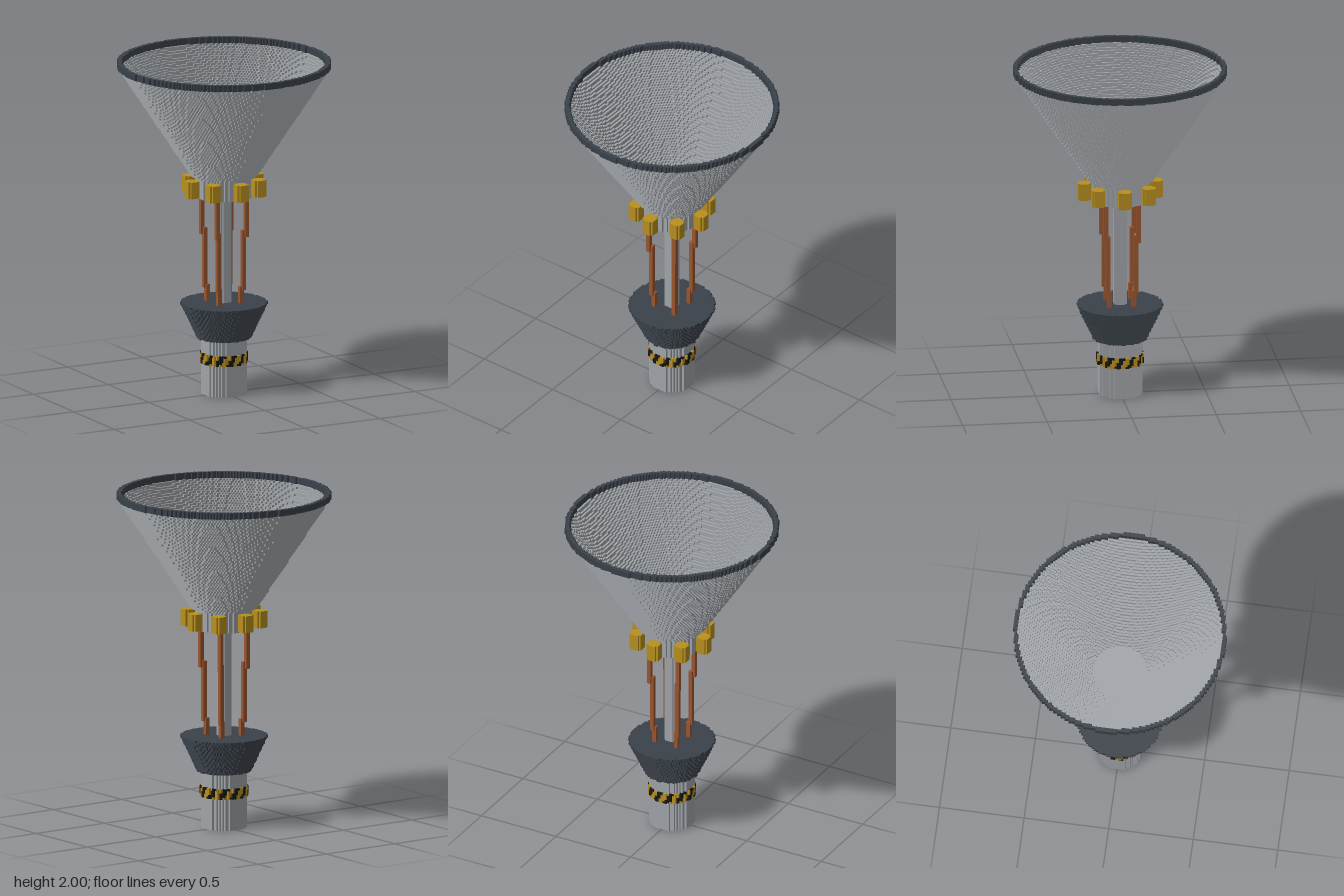
import * as THREE from 'three';

const V = 0.0125; // size of one voxel

const mat = (name, color) => {
  const m = new THREE.MeshStandardMaterial({ color });
  m.name = name;
  return m;
};

// Stepped solid of revolution made of voxels: layers y0..y1, radii in voxels.
// outer(t) and inner(t) take t from 0 at the bottom to 1 at the top.
function voxelRound(name, material, y0, y1, outer, inner = () => 0, keep = () => true) {
  const h = y1 - y0;
  const R = Math.ceil(Math.max(outer(0), outer(1))) + 1;
  const lo = [-R, 0, -R], hi = [R, h, R];
  const solid = ([x, y, z]) => {
    if (y < 0 || y >= h) return false;
    const t = (y + 0.5) / h;
    const d = Math.hypot(x + 0.5, z + 0.5);
    return d < outer(t) && d >= inner(t) && keep(x + 0.5, y, z + 0.5);
  };
  const pos = [], index = [];
  // n: face normal axis, u: axis along which faces merge, w: remaining axis
  for (const [n, u, w, turn] of [[1, 0, 2, -1], [2, 0, 1, 1], [0, 2, 1, -1]]) {
    for (const s of [1, -1]) {
      const c = [0, 0, 0], next = [0, 0, 0];
      const exposed = () => {
        if (!solid(c)) return false;
        next[0] = c[0]; next[1] = c[1]; next[2] = c[2];
        next[n] += s;
        return !solid(next);
      };
      for (let b = lo[w]; b < hi[w]; b++) for (let a = lo[n]; a < hi[n]; a++) {
        let start = null;
        for (let i = lo[u]; i <= hi[u]; i++) {
          c[n] = a; c[w] = b; c[u] = i;
          const open = i < hi[u] && exposed();
          if (open && start === null) start = i;
          if (!open && start !== null) {
            const k = pos.length / 3;
            for (const [p, q] of [[start, b], [i, b], [i, b + 1], [start, b + 1]]) {
              const v = [0, 0, 0];
              v[n] = a + (s > 0 ? 1 : 0); v[u] = p; v[w] = q;
              pos.push(v[0] * V, v[1] * V, v[2] * V);
            }
            if (s * turn > 0) index.push(k, k + 1, k + 2, k, k + 2, k + 3);
            else index.push(k, k + 2, k + 1, k, k + 3, k + 2);
            start = null;
          }
        }
      }
    }
  }
  const g = new THREE.BufferGeometry();
  g.setAttribute('position', new THREE.Float32BufferAttribute(pos, 3));
  g.setIndex(index);
  g.computeVertexNormals();
  const mesh = new THREE.Mesh(g, material);
  mesh.name = name;
  mesh.position.y = y0 * V;
  return mesh;
}

export function createModel() {
  const model = new THREE.Group();
  model.name = 'rocketEngine';
  const steel = mat('steel', 0xa0a4a8);
  const dark = mat('darkMetal', 0x3a4149);
  const gold = mat('gold', 0xb8901f);
  const copper = mat('copper', 0x9a5630);
  const black = mat('black', 0x15161a);
  const lerp = (a, b) => (t) => a + (b - a) * t;
  const flat = (r) => () => r;
  const add = (...args) => {
    const m = voxelRound(...args);
    model.add(m);
    return m;
  };

  // Base cylinder with a hazard band between its two halves
  add('baseLower', steel, 0, 15, flat(10.5));
  add('baseUpper', steel, 20, 27, flat(10.5));
  const isGold = (x, y, z) => {
    const f = Math.atan2(x, z) / (Math.PI * 2) * 12 - y * 0.11 + 24.25;
    return f % 1 < 0.5;
  };
  add('bandGold', gold, 15, 20, flat(10.9), flat(0), isGold);
  add('bandBlack', black, 15, 20, flat(10.9), flat(0), (x, y, z) => !isGold(x, y, z));

  // Flared collar and central shaft
  add('collar', dark, 27, 44, lerp(12.3, 20.2));
  add('shaft', steel, 44, 95, flat(3.2));

  // Manifold, bell and rim
  add('manifold', steel, 95, 105, flat(13));
  add('bell', steel, 105, 157, lerp(15, 49), (t) => (t < 0.015 ? 0 : lerp(12, 47.8)(t)));
  add('rim', dark, 157, 160, flat(49.8), flat(48));

  // Eight small canisters around the manifold
  const canister = voxelRound('canister', gold, 96, 104, flat(3.2));
  for (let i = 0; i < 8; i++) {
    const a = (i * Math.PI) / 4;
    const m = canister.clone();
    m.position.x = Math.round(17 * Math.cos(a)) * V;
    m.position.z = Math.round(17 * Math.sin(a)) * V;
    model.add(m);
  }

  // Four copper pipes, each leaning outwards in three steps
  for (const sx of [1, -1]) for (const sz of [1, -1]) {
    const pipe = new THREE.Group();
    pipe.name = 'copperPipe';
    for (const [y0, y1, d] of [[0.55, 0.65, 0.073], [0.63, 0.99, 0.083], [0.95, 1.19, 0.096]]) {
      const m = new THREE.Mesh(new THREE.BoxGeometry(0.025, y1 - y0, 0.025), copper);
      m.name = 'pipeSegment';
      m.position.set(sx * d, (y0 + y1) / 2, sz * d);
      pipe.add(m);
    }
    model.add(pipe);
  }
  return model;
}
